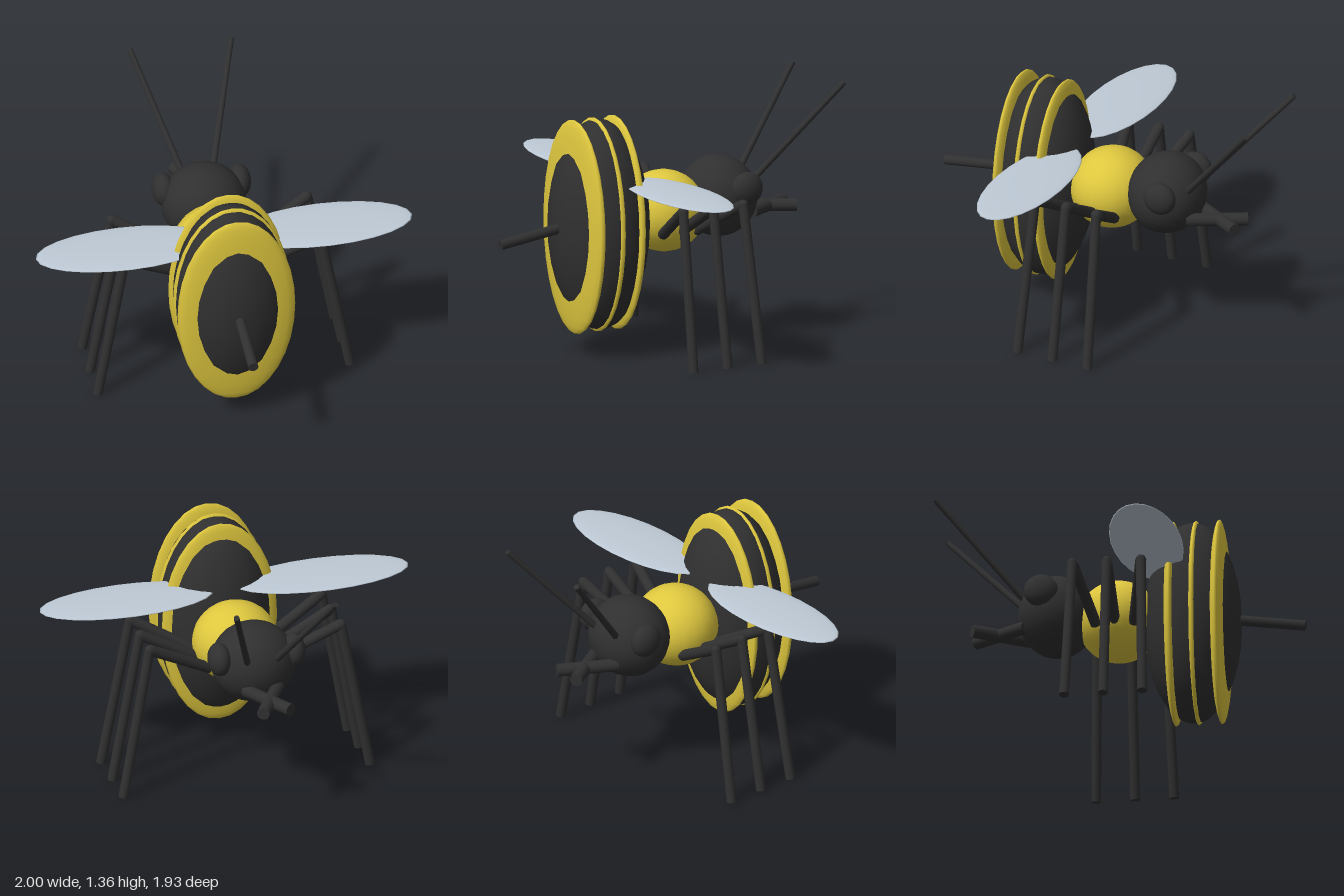
import * as THREE from 'three';

const black = new THREE.MeshStandardMaterial({ name: 'black', color: 0x303030 });
const yellow = new THREE.MeshStandardMaterial({ name: 'yellow', color: 0xdec73e });
const wingGrey = new THREE.MeshStandardMaterial({ name: 'wingGrey', color: 0xbecad6 });

// Smooth ellipsoid with radii r at position p
function ellipsoid(name, material, p, r) {
  const geometry = new THREE.SphereGeometry(1, 24, 16);
  geometry.scale(...r);
  const mesh = new THREE.Mesh(geometry, material);
  mesh.name = name;
  mesh.position.set(...p);
  return mesh;
}

// Capped rod running from a to b
function rod(name, a, b, radiusA, radiusB = radiusA) {
  const start = new THREE.Vector3(...a);
  const end = new THREE.Vector3(...b);
  const dir = end.clone().sub(start);
  const mesh = new THREE.Mesh(new THREE.CylinderGeometry(radiusB, radiusA, dir.length(), 16), black);
  mesh.name = name;
  mesh.position.copy(start).add(end).multiplyScalar(0.5);
  mesh.quaternion.setFromUnitVectors(new THREE.Vector3(0, 1, 0), dir.normalize());
  return mesh;
}

export function createModel() {
  const model = new THREE.Group();
  model.name = 'bee';

  // Body
  model.add(
    ellipsoid('abdomen', black, [0, 0.69, 0.37], [0.305, 0.56, 0.255]),
    ellipsoid('thorax', yellow, [0, 0.72, -0.02], [0.228, 0.215, 0.22]),
    ellipsoid('head', black, [0, 0.765, -0.345], [0.225, 0.215, 0.205]),
    rod('stinger', [0, 0.705, 0.52], [0, 0.643, 0.96], 0.027)
  );

  // Flat discs that emerge from the abdomen as stripes
  for (const z of [0.515, 0.393, 0.273]) {
    model.add(ellipsoid('abdomenStripe', yellow, [0, 0.69, z], [0.313, 0.57, 0.05]));
  }

  // Paired parts
  for (const [side, s] of [['left', 1], ['right', -1]]) {
    model.add(
      ellipsoid(side + 'Wing', wingGrey, [s * 0.53, 0.927, 0.19], [0.47, 0.014, 0.187]),
      ellipsoid(side + 'Eye', black, [s * 0.202, 0.83, -0.405], [0.06, 0.088, 0.09]),
      rod(side + 'Antenna', [s * 0.065, 0.8, -0.47], [s * 0.27, 1.35, -0.95], 0.018, 0.015),
      rod(side + 'Mandible', [s * 0.087, 0.677, -0.5], [s * -0.075, 0.677, -0.78], 0.034)
    );

    // Three legs fan out about the thorax
    for (const [place, f] of [['Front', -1], ['Middle', 0], ['Rear', 1]]) {
      const leg = new THREE.Group();
      leg.name = side + place + 'Leg';
      const hip = [s * 0.17, 0.635, -0.02 + f * 0.1];
      const knee = [s * 0.52, 0.83, -0.02 + f * 0.18];
      const foot = [s * 0.67, 0.005, -0.02 + f * 0.205];
      leg.add(rod('upperLeg', hip, knee, 0.029), rod('lowerLeg', knee, foot, 0.026));
      const joint = ellipsoid('knee', black, knee, [0.026, 0.026, 0.026]);
      leg.add(joint);
      model.add(leg);
    }
  }
  return model;
}
